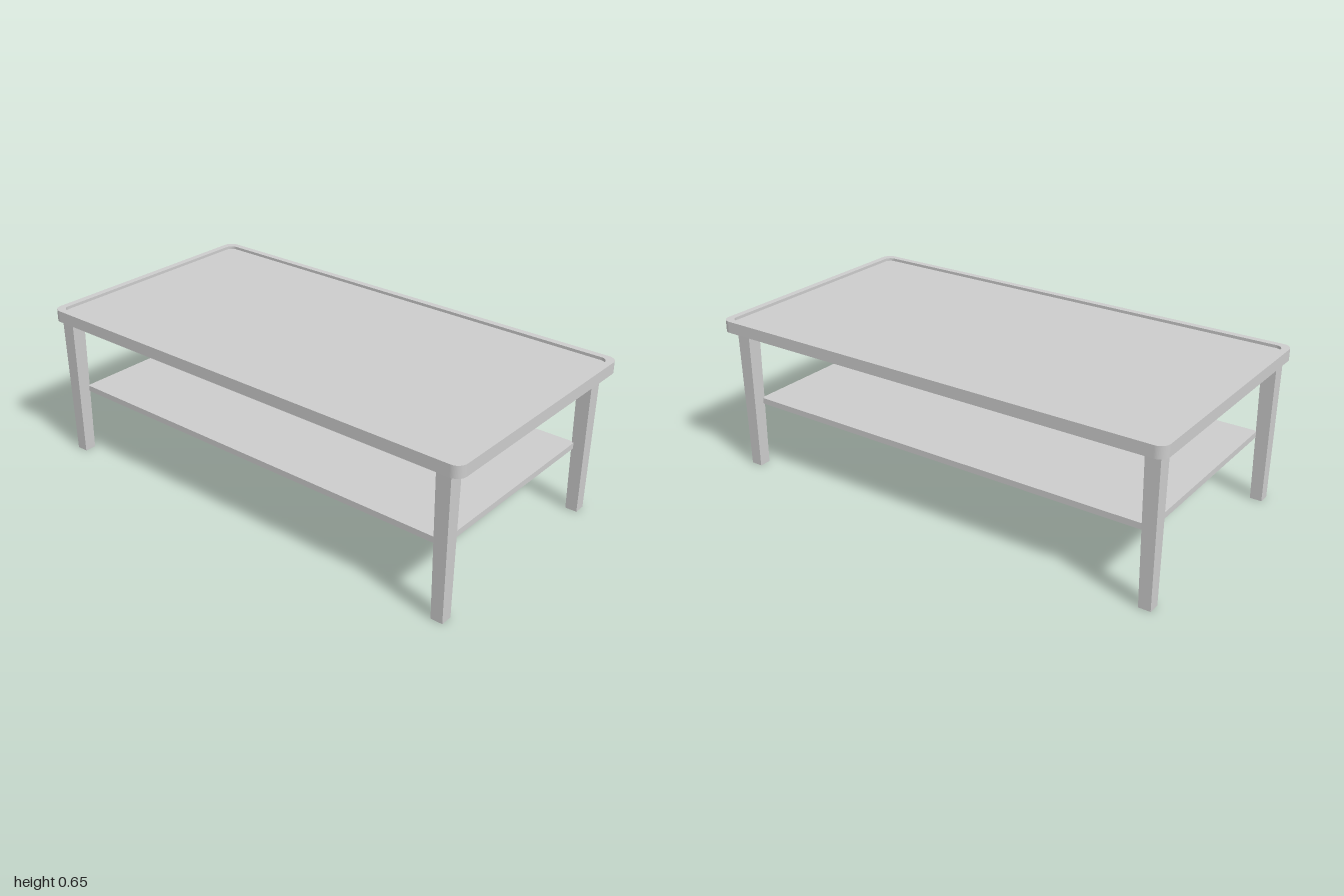
import * as THREE from 'three';

const material = new THREE.MeshStandardMaterial({ color: 0xcccccc });

// Adds a rounded rectangle, half sizes hx and hz, to a Shape or Path
function roundedRect(path, hx, hz, r) {
  path.moveTo(hx, -hz + r);
  path.absarc(hx - r, hz - r, r, 0, Math.PI / 2);
  path.absarc(-hx + r, hz - r, r, Math.PI / 2, Math.PI);
  path.absarc(-hx + r, -hz + r, r, Math.PI, Math.PI * 1.5);
  path.absarc(hx - r, -hz + r, r, Math.PI * 1.5, Math.PI * 2);
  return path;
}

// Horizontal slab spanning y0 to y1
function slab(name, shape, y0, y1) {
  const geometry = new THREE.ExtrudeGeometry(shape, { depth: y1 - y0, bevelEnabled: false, curveSegments: 8 });
  geometry.rotateX(-Math.PI / 2).translate(0, y0, 0);
  const mesh = new THREE.Mesh(geometry, material);
  mesh.name = name;
  return mesh;
}

// Square leg, slightly narrower at the foot
function leg(name, x, z) {
  const height = 0.602, top = 0.06, foot = 0.049;
  const geometry = new THREE.BoxGeometry(top, height, top).translate(0, height / 2, 0);
  const p = geometry.attributes.position;
  for (let i = 0; i < p.count; i++) {
    if (p.getY(i) < 0.01) {
      p.setX(i, p.getX(i) * foot / top);
      p.setZ(i, p.getZ(i) * foot / top);
    }
  }
  geometry.computeVertexNormals();
  const mesh = new THREE.Mesh(geometry, material);
  mesh.name = name;
  mesh.position.set(x, 0, z);
  return mesh;
}

export function createModel() {
  const table = new THREE.Group();
  table.name = 'coffeeTable';

  // Tabletop: raised rim around a shallow recessed panel
  const rim = roundedRect(new THREE.Shape(), 0.523, 1, 0.04);
  rim.holes.push(roundedRect(new THREE.Path(), 0.496, 0.972, 0.03));
  table.add(slab('tabletopRim', rim, 0.602, 0.65));
  table.add(slab('tabletopPanel', roundedRect(new THREE.Shape(), 0.496, 0.972, 0.03), 0.602, 0.638));

  // Lower shelf, its corners held by the legs
  const shelf = slab('lowerShelf', roundedRect(new THREE.Shape(), 0.442, 0.911, 0.01), 0.273, 0.298);
  shelf.position.set(-0.006, 0, -0.008);
  table.add(shelf);

  // Four tapered legs
  table.add(leg('frontLeftLeg', 0.456, 0.922));
  table.add(leg('frontRightLeg', -0.469, 0.922));
  table.add(leg('backLeftLeg', 0.463, -0.944));
  table.add(leg('backRightLeg', -0.469, -0.944));
  return table;
}
